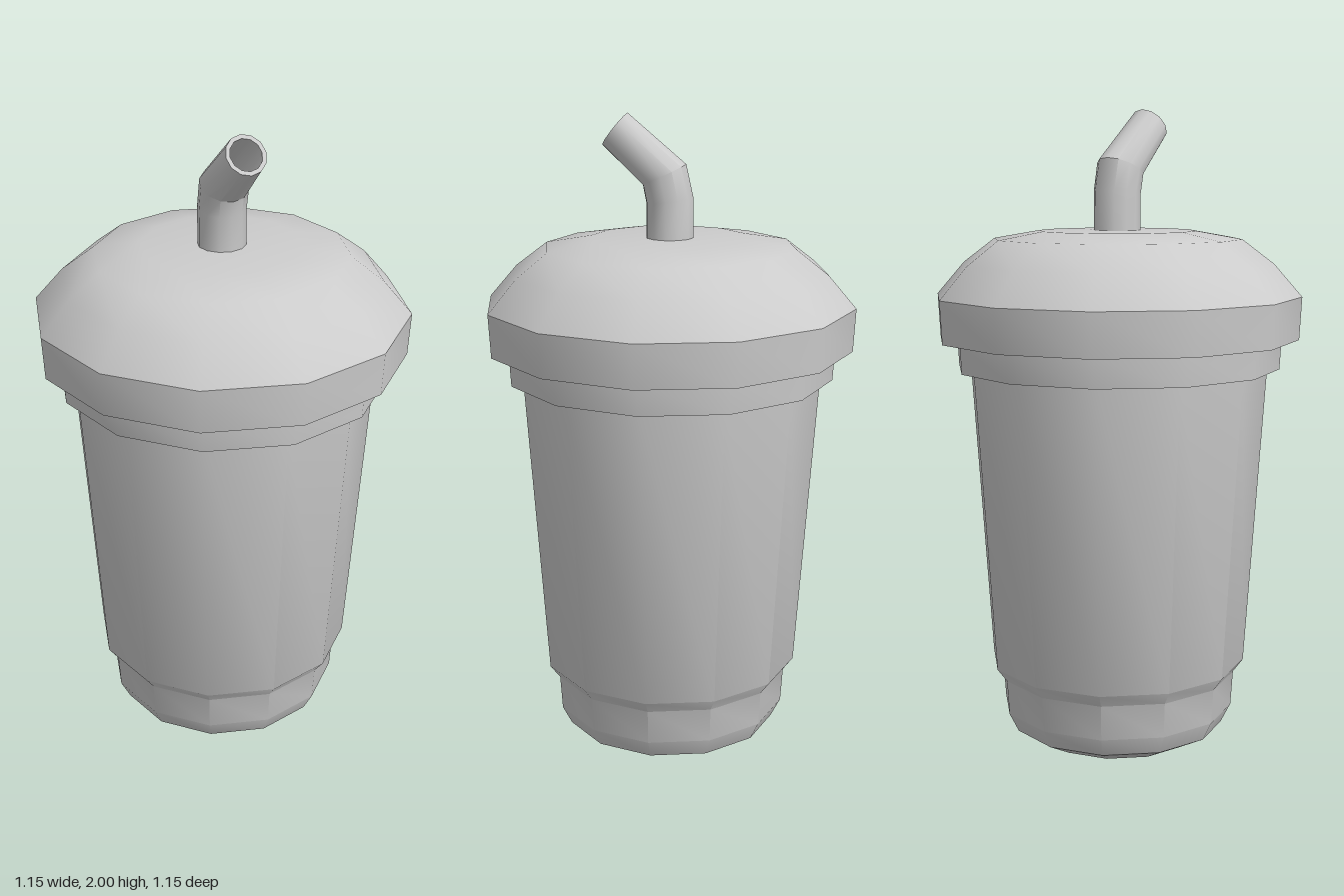
import * as THREE from 'three';
import { toCreasedNormals } from 'three/addons/utils/BufferGeometryUtils.js';

const SIDES = 12;
const CREASE = 0.58;
const material = new THREE.MeshStandardMaterial({ color: 0xcccccc });

function addPart(group, name, geometry) {
  const mesh = new THREE.Mesh(toCreasedNormals(geometry, CREASE), material);
  mesh.name = name;
  group.add(mesh);
}

// Turned part from [radius, height] pairs, listed bottom to top
function turned(profile) {
  return new THREE.LatheGeometry(profile.map(([r, y]) => new THREE.Vector2(r, y)), SIDES);
}

// Skin through rings of [y, z, forward tilt, radius]
function loft(rings) {
  const positions = [];
  const indices = [];
  rings.forEach(([y, z, tilt, r], i) => {
    for (let j = 0; j < SIDES; j++) {
      const a = (j / SIDES) * Math.PI * 2;
      const s = r * Math.sin(a);
      positions.push(r * Math.cos(a), y - s * Math.sin(tilt), z + s * Math.cos(tilt));
      if (i === rings.length - 1) continue;
      const k = (j + 1) % SIDES;
      const p = i * SIDES;
      const q = p + SIDES;
      indices.push(p + j, q + j, p + k, p + k, q + j, q + k);
    }
  });
  const geometry = new THREE.BufferGeometry();
  geometry.setAttribute('position', new THREE.Float32BufferAttribute(positions, 3));
  geometry.setIndex(indices);
  return geometry;
}

export function createModel() {
  const group = new THREE.Group();
  group.name = 'drinkCup';

  // Cup with rounded foot, stepped wall and collar
  addPart(group, 'cup', turned([
    [0, 0], [0.25, 0.003], [0.34, 0.05], [0.37, 0.11], [0.377, 0.22],
    [0.408, 0.262], [0.47, 1.205], [0.508, 1.205], [0.513, 1.295], [0, 1.295],
  ]));

  // Domed lid with overhanging rim
  addPart(group, 'lid', turned([
    [0, 1.297], [0.567, 1.297], [0.574, 1.43], [0.487, 1.53],
    [0.388, 1.605], [0.245, 1.63], [0, 1.632],
  ]));

  // Hollow straw, bent forward: outer wall up, rim, inner wall down
  const path = [
    [1.6, 0, 0, 0.073], [1.745, 0, 0.12, 0.073],
    [1.82, 0.016, 0.45, 0.074], [1.953, 0.167, 0.9, 0.062],
  ];
  const inner = path.map(([y, z, tilt, r]) => [y, z, tilt, r - 0.013]).reverse();
  addPart(group, 'straw', loft([...path, ...inner]));

  return group;
}
